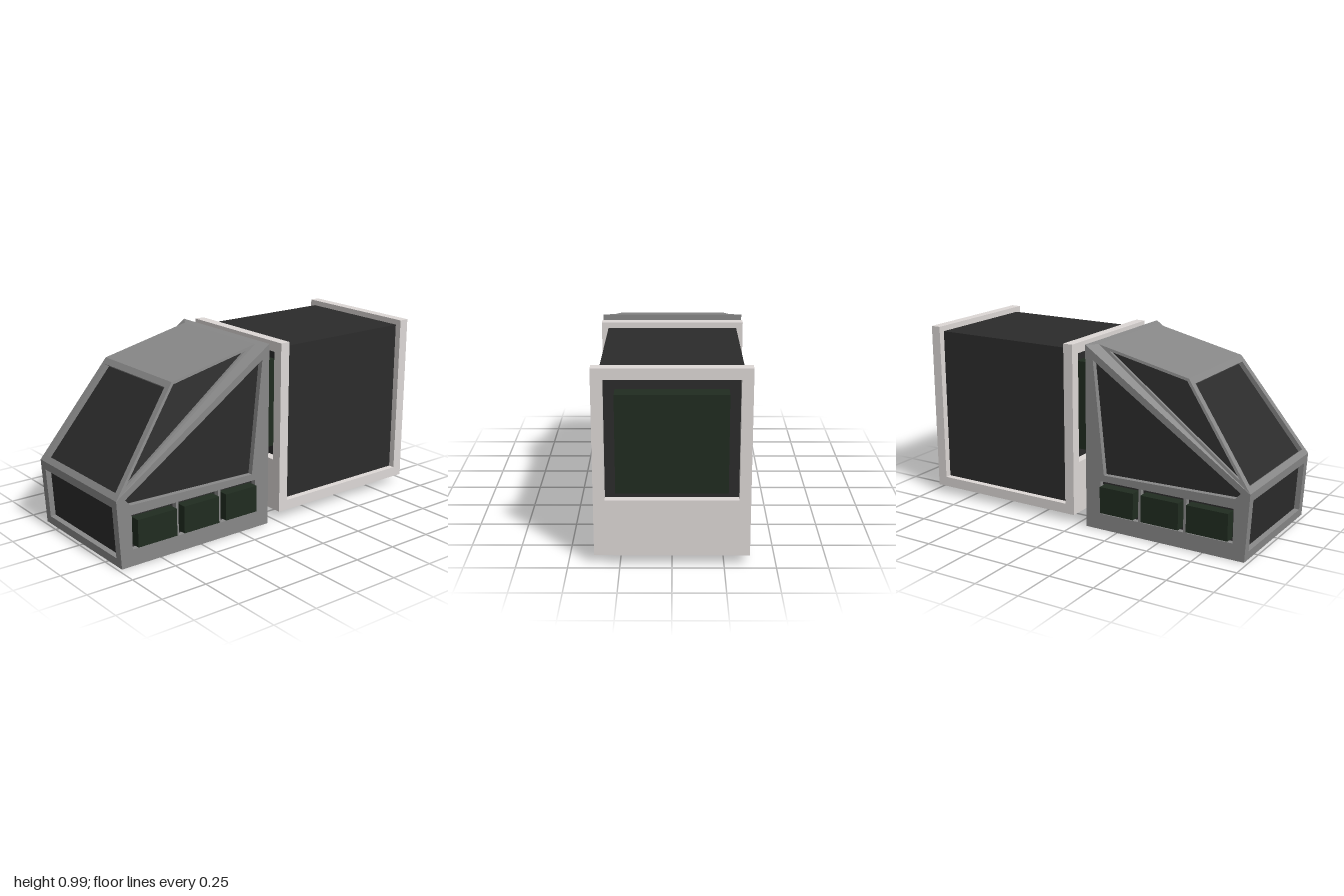
import * as THREE from 'three';

const mat = (color) => new THREE.MeshStandardMaterial({ color, flatShading: true, side: THREE.DoubleSide });
const V = (x, y, z) => new THREE.Vector3(x, y, z);

export function createModel() {
  const model = new THREE.Group();
  const grey = mat(0x888888), dark = mat(0x2b2b2b), green = mat(0x202c20), pale = mat(0xddd8d6);

  const add = (name, geometry, material, parent = model) => {
    const mesh = new THREE.Mesh(geometry, material);
    mesh.name = name;
    parent.add(mesh);
    return mesh;
  };

  // Box given by its two extreme corners
  const box = (name, a, b, material, parent) => {
    const g = new THREE.BoxGeometry(b[0] - a[0], b[1] - a[1], b[2] - a[2]);
    g.translate((a[0] + b[0]) / 2, (a[1] + b[1]) / 2, (a[2] + b[2]) / 2);
    return add(name, g, material, parent);
  };

  // Flat convex polygons, each cut into a fan, turned to face away from the centre
  const faces = (polys, centre) => {
    const pos = [];
    for (const p of polys) {
      const n = p[1].clone().sub(p[0]).cross(p[2].clone().sub(p[0]));
      const q = n.dot(p[0].clone().sub(centre)) < 0 ? [...p].reverse() : p;
      for (let i = 1; i < q.length - 1; i++) for (const v of [q[0], q[i], q[i + 1]]) pos.push(v.x, v.y, v.z);
    }
    const g = new THREE.BufferGeometry();
    g.setAttribute('position', new THREE.Float32BufferAttribute(pos, 3));
    g.computeVertexNormals();
    return g;
  };

  // Move every edge of a polygon inwards by d
  const inset = (pts, d) => pts.map((p, i) => {
    const u = pts[(i + pts.length - 1) % pts.length].clone().sub(p).normalize();
    const v = pts[(i + 1) % pts.length].clone().sub(p).normalize();
    const s = u.clone().cross(v).length();
    return p.clone().addScaledVector(u.add(v), d / s);
  });

  const centre = V(-0.5, 0.4, 0);

  // Frame around a recessed dark pane
  const framed = (name, outer, inner, depth, parent) => {
    const group = new THREE.Group();
    group.name = name;
    const n = outer[1].clone().sub(outer[0]).cross(outer[2].clone().sub(outer[0])).normalize();
    if (n.dot(centre.clone().sub(outer[0])) < 0) n.negate();
    const deep = inner.map((p) => p.clone().addScaledVector(n, depth));
    const rim = [];
    outer.forEach((p, i) => {
      const j = (i + 1) % outer.length;
      rim.push([p, outer[j], inner[j], inner[i]], [inner[i], inner[j], deep[j], deep[i]]);
    });
    add(name + 'Frame', faces(rim, centre), grey, group);
    add(name + 'Pane', faces([deep], centre), dark, group);
    parent.add(group);
  };

  // ---- Cab ----
  const cab = new THREE.Group();
  cab.name = 'cab';
  model.add(cab);
  const W = 0.375;
  const corners = (s) => ({
    toe: V(-0.98, 0, s * W), heel: V(-0.06, 0, s * W), nose: V(-1, 0.36, s * W),
    brow: V(-0.62, 0.87, s * 0.305), crown: V(-0.1, 0.985, s * 0.31), tail: V(-0.06, 0.99, s * W),
  });
  const L = corners(1), R = corners(-1);

  add('roof', faces([[L.brow, L.crown, R.crown, R.brow], [L.crown, L.tail, R.tail, R.crown]], centre), grey, cab);
  add('cabFloor', faces([[L.toe, L.heel, R.heel, R.toe]], centre), grey, cab);
  const shield = [L.nose, L.brow, R.brow, R.nose];
  framed('windshield', shield, inset(shield, 0.035), 0.025, cab);
  const front = [L.toe, L.nose, R.nose, R.toe];
  framed('frontPanel', front, inset(front, 0.045), 0.03, cab);
  framed('cabBack', [L.heel, L.tail, R.tail, R.heel],
    [V(-0.06, 0.33, 0.32), V(-0.06, 0.93, 0.32), V(-0.06, 0.93, -0.32), V(-0.06, 0.33, -0.32)], 0.04, cab);
  box('cabBackPad', [-0.1, 0.39, -0.255], [-0.023, 0.87, 0.255], green, cab);

  // Cab sides: pierced wall, dark backing, three pads, upper window and pillar
  const bays = [[-0.915, -0.655], [-0.64, -0.393], [-0.378, -0.148]];
  const wall = (holes) => {
    const s = new THREE.Shape([[-0.98, 0], [-0.06, 0], [-0.06, 0.99], [-1, 0.36]].map((p) => new THREE.Vector2(...p)));
    for (const h of holes) s.holes.push(new THREE.Path(h.map((p) => new THREE.Vector2(...p))));
    return s;
  };
  const holes = [[[-0.95, 0.355], [-0.92, 0.322], [-0.17, 0.305], [-0.105, 0.915]],
    ...bays.map(([a, b]) => [[a, 0.088], [b, 0.088], [b, 0.27], [a, 0.27]])];
  for (const [s, C, side] of [[1, L, 'left'], [-1, R, 'right']]) {
    const plate = new THREE.ExtrudeGeometry(wall(holes), { depth: 0.03, bevelEnabled: false });
    plate.translate(0, 0, s > 0 ? W - 0.03 : -W);
    add(side + 'Wall', plate, grey, cab);
    const backing = new THREE.ShapeGeometry(new THREE.Shape(
      [[-0.96, 0.05], [-0.1, 0.05], [-0.1, 0.94], [-0.96, 0.37]].map((p) => new THREE.Vector2(...p))));
    backing.translate(0, 0, s * (W - 0.029));
    add(side + 'Backing', backing, dark, cab);
    for (const [a, b] of bays)
      box(side + 'Pad', [a + 0.015, 0.105, s > 0 ? 0.34 : -0.405], [b - 0.015, 0.25, s > 0 ? 0.405 : -0.34], green, cab);
    const upper = [C.nose, C.brow, C.crown];
    framed(side + 'UpperWindow', upper, inset(upper, 0.014), 0.02, cab);
    add(side + 'Pillar', faces([[C.nose, C.crown, C.tail]], centre), grey, cab);
  }

  // ---- Container ----
  const container = new THREE.Group();
  container.name = 'container';
  model.add(container);
  box('containerBody', [0.07, 0.1, -0.34], [0.91, 0.95, 0.34], dark, container);
  box('containerBase', [0.075, 0.045, -W], [0.905, 0.1, W], pale, container);

  // End frames with a square opening
  const rect = (T, x, y0, y1) => new T([[-x, y0], [x, y0], [x, y1], [-x, y1]].map((p) => new THREE.Vector2(...p)));
  const ring = rect(THREE.Shape, W, 0.045, 0.98);
  ring.holes.push(rect(THREE.Path, 0.32, 0.33, 0.925));
  for (const [name, x] of [['innerEndFrame', 0.02], ['outerEndFrame', 0.9]]) {
    const g = new THREE.ExtrudeGeometry(ring, { depth: 0.055, bevelEnabled: false });
    g.rotateY(Math.PI / 2);
    g.translate(x, 0, 0);
    add(name, g, pale, container);
  }
  box('innerEndPad', [-0.02, 0.385, -0.265], [0.08, 0.868, 0.265], green, container);
  box('outerEndPad', [0.9, 0.385, -0.265], [1, 0.868, 0.265], green, container);

  return model;
}
